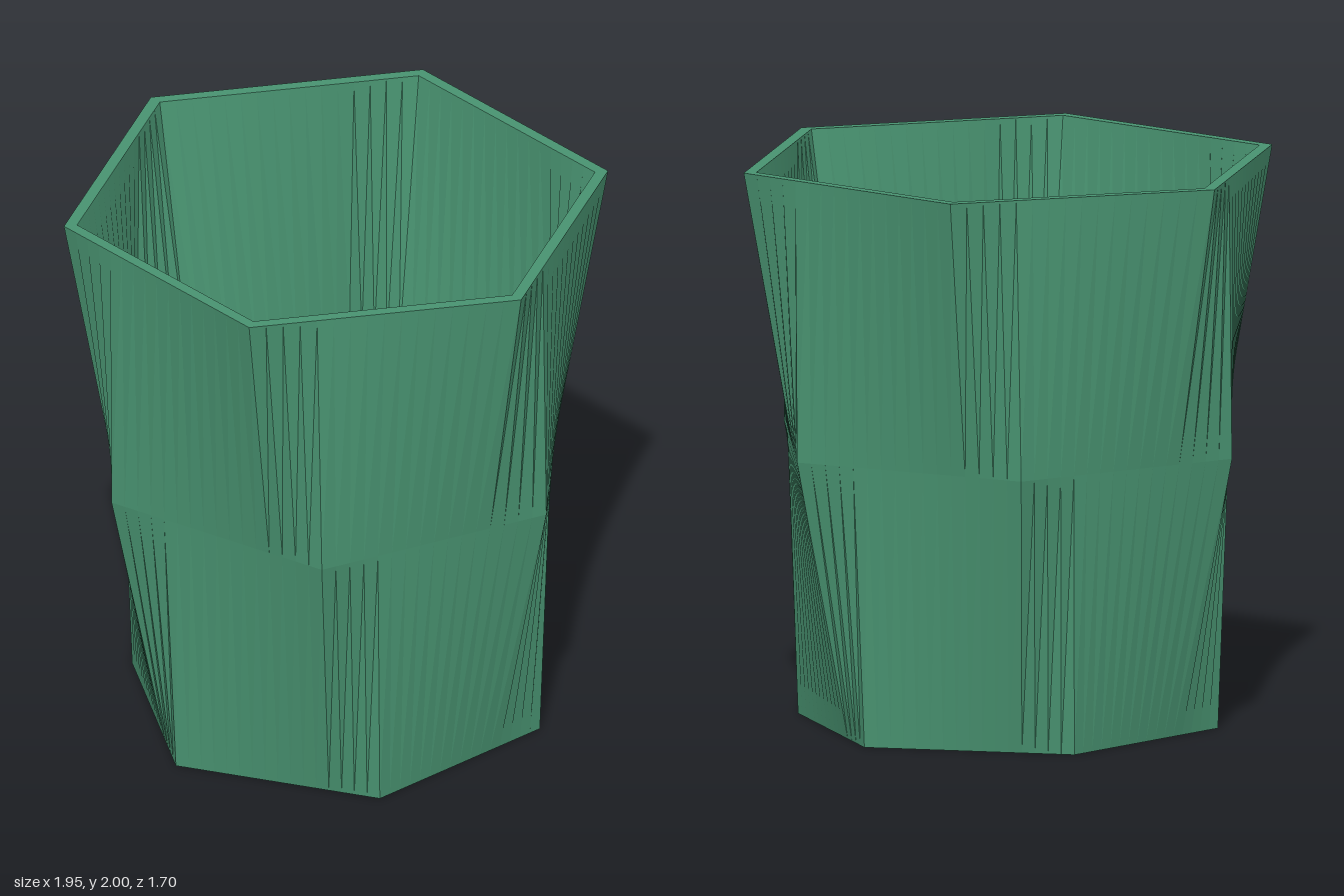
import * as THREE from 'three';

const SIDES = 6, STEPS = 16, COUNT = SIDES * STEPS;
const WALL = 0.047, FLOOR = 0.05;

// Corner radius, height and twist (in columns of 3.75 degrees) of each ring
const RINGS = [
  { r: 0.753, y: 0, turn: -8 },
  { r: 0.882, y: 1, turn: -4 },
  { r: 0.975, y: 2, turn: 0 },
];

// Point on a twisted hexagon for one column
function ringPoint({ r, y, turn }, column) {
  const u = (column - turn + COUNT) % COUNT;
  const side = Math.floor(u / STEPS);
  const corner = (k) => {
    const a = (k * STEPS + turn) / COUNT * Math.PI * 2;
    return new THREE.Vector3(r * Math.cos(a), y, r * Math.sin(a));
  };
  return corner(side).lerp(corner(side + 1), (u % STEPS) / STEPS);
}

// Pleated wall between successive rings, facing out or in
function wallGeometry(rings, inward) {
  const pos = [];
  const tri = (a, b, c) => {
    for (const p of inward ? [a, c, b] : [a, b, c]) pos.push(p.x, p.y, p.z);
  };
  for (let i = 0; i < rings.length - 1; i++) {
    for (let c = 0; c < COUNT; c++) {
      const l0 = ringPoint(rings[i], c), l1 = ringPoint(rings[i], c + 1);
      const u0 = ringPoint(rings[i + 1], c), u1 = ringPoint(rings[i + 1], c + 1);
      tri(l1, l0, u0);
      tri(l1, u0, u1);
    }
  }
  const geo = new THREE.BufferGeometry();
  geo.setAttribute('position', new THREE.Float32BufferAttribute(pos, 3));
  geo.computeVertexNormals();
  return geo;
}

function hexPoints(r, start) {
  return Array.from({ length: SIDES }, (_, i) => {
    const a = start + i * Math.PI / 3;
    return new THREE.Vector2(r * Math.cos(a), r * Math.sin(a));
  });
}

export function createModel() {
  const group = new THREE.Group();
  group.name = 'twistedPlanter';
  const green = new THREE.MeshStandardMaterial({ color: 0x489270 });
  green.name = 'green';
  const add = (name, geo) => {
    const mesh = new THREE.Mesh(geo, green);
    mesh.name = name;
    group.add(mesh);
    return mesh;
  };

  // Outer and inner walls
  add('outerWall', wallGeometry(RINGS, false));
  const inner = RINGS.map(({ r, y, turn }) => ({ r: r - WALL, y: Math.max(y, FLOOR), turn }));
  add('innerWall', wallGeometry(inner, true));

  // Flat hexagonal rim
  const rimShape = new THREE.Shape(hexPoints(RINGS[2].r, 0));
  rimShape.holes.push(new THREE.Path(hexPoints(RINGS[2].r - WALL, 0)));
  const rim = add('rim', new THREE.ShapeGeometry(rimShape));
  rim.rotation.x = -Math.PI / 2;
  rim.position.y = 2;

  // Floor with drain hole
  const floorShape = new THREE.Shape(hexPoints(RINGS[0].r, Math.PI / 6));
  floorShape.holes.push(new THREE.Path().absarc(0, 0, 0.09, 0, Math.PI * 2, true));
  const floor = add('floor', new THREE.ExtrudeGeometry(floorShape,
    { depth: FLOOR, bevelEnabled: false, curveSegments: 32 }));
  floor.rotation.x = -Math.PI / 2;

  return group;
}
